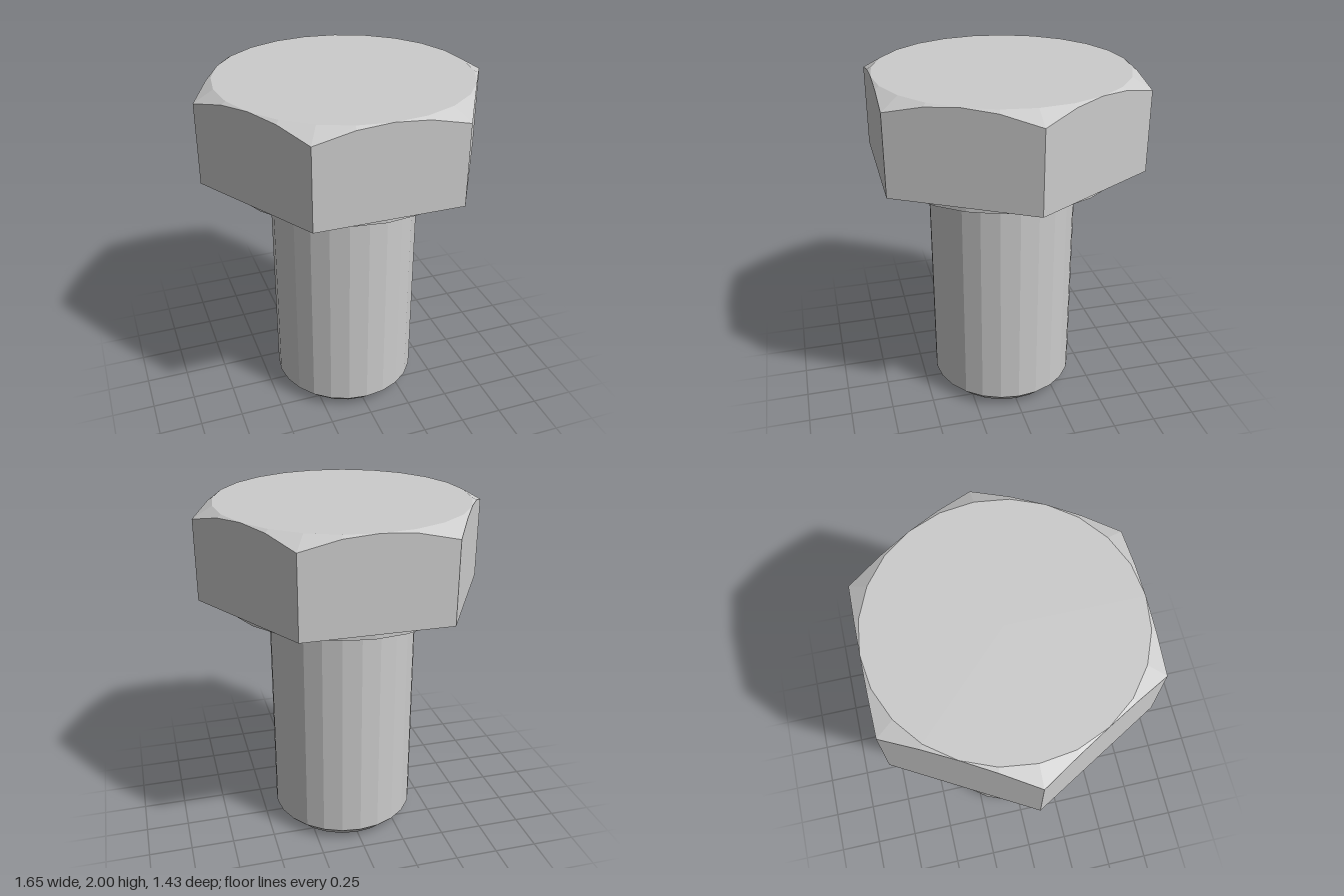
import * as THREE from 'three';

const SEGMENTS = 24;
const APOTHEM = 0.714;
const HEAD_BASE = 1.477, HEAD_TOP = 2, WASHER_BASE = 1.433;

const material = new THREE.MeshStandardMaterial({ color: 0xcccccc, flatShading: true });

function lathe(name, profile) {
  const points = profile.map(([r, y]) => new THREE.Vector2(r, y));
  const mesh = new THREE.Mesh(new THREE.LatheGeometry(points, SEGMENTS), material);
  mesh.name = name;
  return mesh;
}

// Hexagonal prism whose top corners are cut by a 30 degree cone
function hexHeadGeometry() {
  const slope = Math.tan(Math.PI / 6);
  const at = (angle, r, y) => new THREE.Vector3(r * Math.cos(angle), y, -r * Math.sin(angle));
  const section = (i) => {
    const angle = (i / SEGMENTS) * Math.PI * 2;
    const fromFlat = (angle % (Math.PI / 3)) - Math.PI / 6;
    const r = APOTHEM / Math.cos(fromFlat);
    return [
      at(angle, 0, HEAD_BASE),
      at(angle, r, HEAD_BASE),
      at(angle, r, HEAD_TOP - (r - APOTHEM) * slope),
      at(angle, APOTHEM, HEAD_TOP),
      at(angle, 0, HEAD_TOP),
    ];
  };
  const positions = [];
  const triangle = (a, b, c) => {
    // The chamfer vanishes at the middle of each flat, so skip empty faces
    if (new THREE.Triangle(a, b, c).getArea() < 1e-6) return;
    for (const p of [a, b, c]) positions.push(p.x, p.y, p.z);
  };
  for (let i = 0; i < SEGMENTS; i++) {
    const s = section(i), t = section((i + 1) % SEGMENTS);
    for (let k = 0; k < 4; k++) {
      triangle(s[k], t[k], t[k + 1]);
      triangle(s[k], t[k + 1], s[k + 1]);
    }
  }
  const geometry = new THREE.BufferGeometry();
  geometry.setAttribute('position', new THREE.Float32BufferAttribute(positions, 3));
  geometry.computeVertexNormals();
  return geometry;
}

export function createModel() {
  const group = new THREE.Group();
  group.name = 'hexBolt';

  const head = new THREE.Mesh(hexHeadGeometry(), material);
  head.name = 'hexHead';
  group.add(head);

  // Thin round bearing face under the head
  group.add(lathe('washerFace', [[0.46, WASHER_BASE], [0.67, WASHER_BASE], [0.67, HEAD_BASE]]));

  // Shank with a chamfered tip and a small fillet below the washer face
  const shankRadius = 0.427, fillet = 0.034;
  const profile = [[0, 0], [0.357, 0], [shankRadius, 0.07]];
  for (let i = 0; i <= 4; i++) {
    const a = (i / 4) * Math.PI / 2;
    profile.push([
      shankRadius + fillet * (1 - Math.cos(a)),
      WASHER_BASE - fillet * (1 - Math.sin(a)),
    ]);
  }
  group.add(lathe('shank', profile));

  return group;
}
